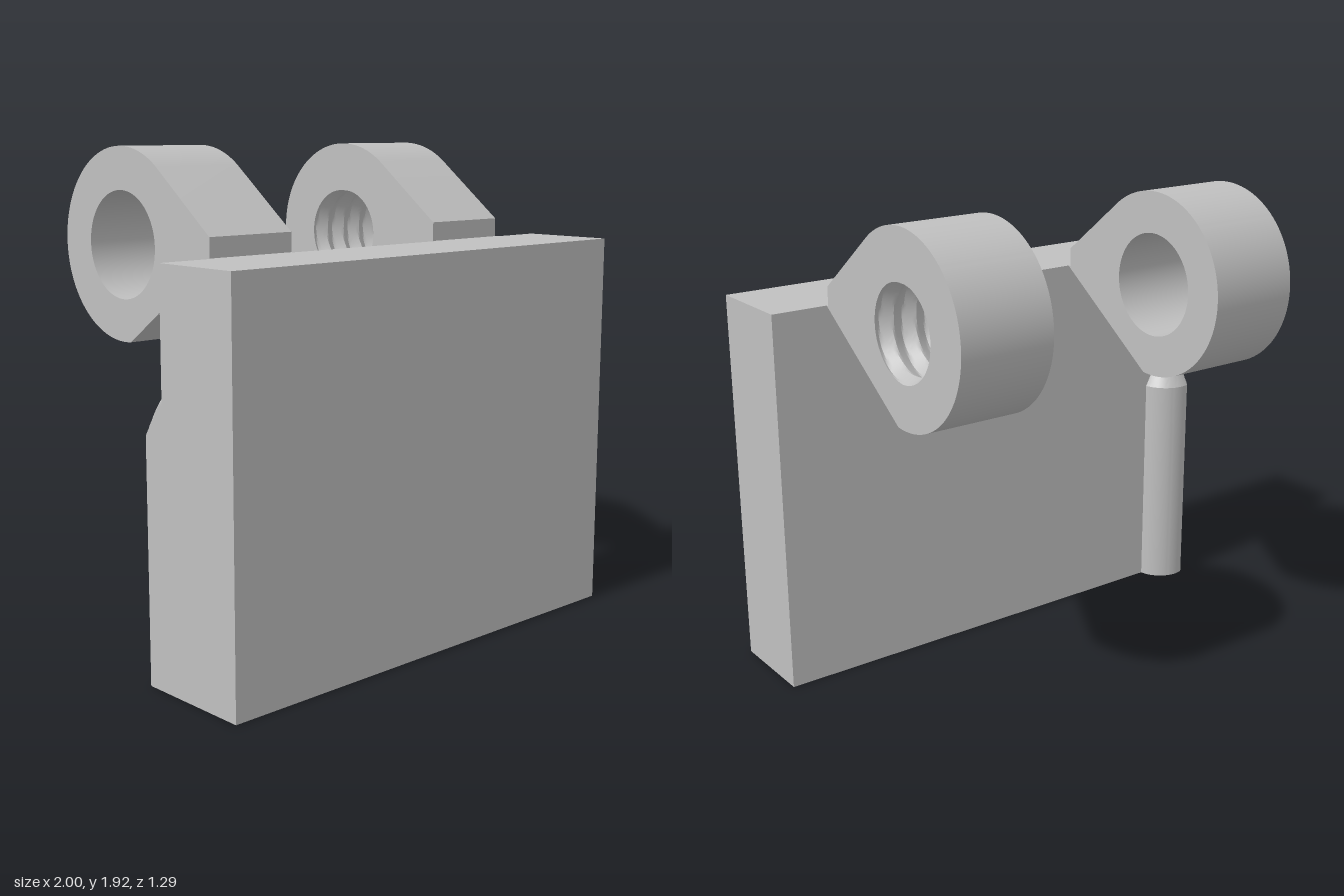
import * as THREE from 'three';
import { toCreasedNormals } from 'three/addons/utils/BufferGeometryUtils.js';

const LUG_WIDTH = 0.385;
const EYE = { u: 0.273, y: 1.557, r: 0.368 };

// Hinge lug: rounded eye with tangent flanks, drawn in (-z, y) and extruded along x
function lugGeometry(x0, holeRadius, steps) {
  const rad = THREE.MathUtils.degToRad;
  const shape = new THREE.Shape();
  shape.moveTo(-0.262, 1.247);
  shape.absarc(EYE.u, EYE.y, EYE.r, rad(-96.7), rad(128), false);
  shape.lineTo(-0.25, 1.615);
  shape.lineTo(-0.25, 1.54);
  shape.lineTo(-0.262, 1.54);
  shape.closePath();
  const hole = new THREE.Path();
  hole.absarc(EYE.u, EYE.y, holeRadius, 0, Math.PI * 2, true);
  shape.holes.push(hole);

  const geo = new THREE.ExtrudeGeometry(shape, {
    depth: LUG_WIDTH, steps, curveSegments: 56, bevelEnabled: false,
  });
  if (steps > 1) cutThread(geo, holeRadius);
  geo.rotateY(Math.PI / 2);
  geo.translate(x0, 0, 0);
  return toCreasedNormals(geo, 0.4);
}

// Push the bore outward along a helix to form the internal thread
function cutThread(geo, minor, depth = 0.026, turns = 4) {
  const p = geo.attributes.position;
  for (let i = 0; i < p.count; i++) {
    const u = p.getX(i) - EYE.u, v = p.getY(i) - EYE.y;
    if (Math.hypot(u, v) > minor + 0.01) continue;
    const a = Math.atan2(v, u);
    const phase = a / (2 * Math.PI) - (turns * p.getZ(i)) / LUG_WIDTH + 0.75;
    const t = phase - Math.floor(phase);
    const r = minor + depth * (1 - Math.abs(2 * t - 1));
    p.setXY(i, EYE.u + r * Math.cos(a), EYE.y + r * Math.sin(a));
  }
}

// Half-round section of the rib, trimmed flush with the plate's side
function ribGeometry(rTop, rBottom, y0, y1, rows) {
  const geo = new THREE.CylinderGeometry(rTop, rBottom, y1 - y0, 40, rows, false, Math.PI / 2, Math.PI);
  geo.translate(-0.957, (y0 + y1) / 2, 0.277);
  const p = geo.attributes.position;
  for (let i = 0; i < p.count; i++) p.setX(i, Math.max(p.getX(i), -1));
  return toCreasedNormals(geo, 0.4);
}

export function createModel() {
  const model = new THREE.Group();
  const grey = new THREE.MeshStandardMaterial({ color: 0xc0c0c0 });
  grey.name = 'plain grey';
  const add = (name, geo) => {
    const mesh = new THREE.Mesh(geo, grey);
    mesh.name = name;
    model.add(mesh);
    return mesh;
  };

  // Upright plate
  add('plate', new THREE.BoxGeometry(2, 1.54, 0.383)).position.set(0, 0.77, 0.4535);

  // Hinge lugs: threaded on the left, plain bore on the right
  add('threadedLug', lugGeometry(0.385, 0.17, 48));
  add('plainLug', lugGeometry(-0.77, 0.205, 1));

  // Rib on the back with a tapered tip
  add('ribShaft', ribGeometry(0.12, 0.12, 0, 0.925, 1));
  add('ribTip', ribGeometry(0.04, 0.12, 0.925, 1.075, 10));

  return model;
}
